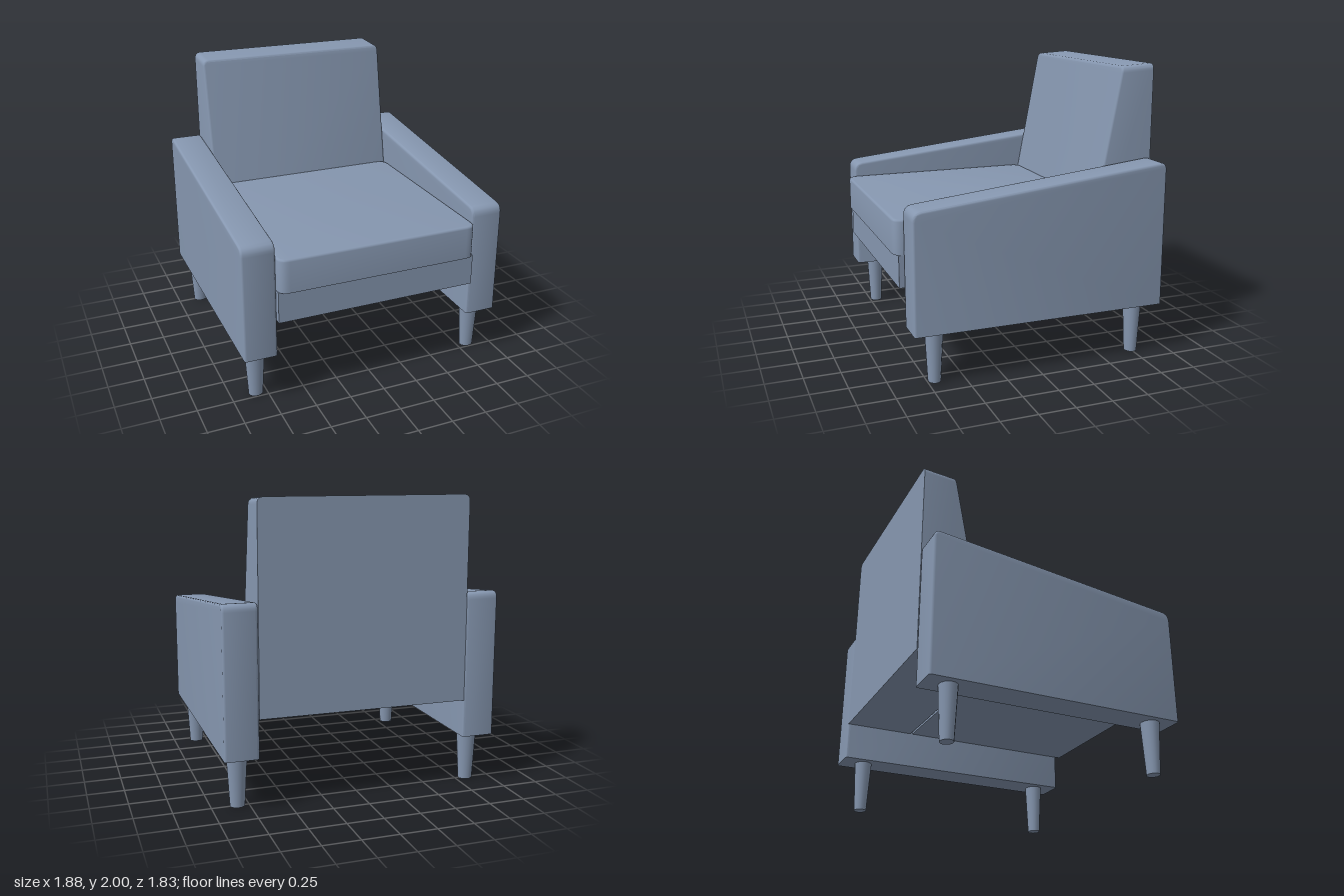
import * as THREE from 'three';
import { toCreasedNormals } from 'three/addons/utils/BufferGeometryUtils.js';

const material = new THREE.MeshStandardMaterial({ color: 0x8697b0 });

// Extrude a profile to a total depth with a small rounded edge, keeping its outline size.
function softExtrude(shape, depth, bevel) {
  return new THREE.ExtrudeGeometry(shape, {
    depth: depth - 2 * bevel, bevelThickness: bevel, bevelSize: bevel,
    bevelOffset: -bevel, bevelSegments: 3, curveSegments: 6,
  }).translate(0, 0, bevel);
}

// Move every vertex by a rule.
function reshape(geometry, rule) {
  const p = geometry.attributes.position;
  const v = new THREE.Vector3();
  for (let i = 0; i < p.count; i++) {
    v.fromBufferAttribute(p, i);
    rule(v);
    p.setXYZ(i, v.x, v.y, v.z);
  }
  return geometry;
}

// Polygon with rounded corners; each corner is [x, y, radius].
function roundedShape(corners) {
  const shape = new THREE.Shape();
  const n = corners.length;
  corners.forEach(([x, y, r], i) => {
    const at = new THREE.Vector2(x, y);
    const toward = ([a, b]) => new THREE.Vector2(a, b).sub(at).setLength(r).add(at);
    const a = toward(corners[(i + n - 1) % n]);
    const b = toward(corners[(i + 1) % n]);
    if (i === 0) shape.moveTo(a.x, a.y);
    else shape.lineTo(a.x, a.y);
    if (r > 0) shape.quadraticCurveTo(x, y, b.x, b.y);
  });
  shape.closePath();
  return shape;
}

export function createModel() {
  const model = new THREE.Group();
  model.name = 'armchair';
  const add = (name, geometry) => {
    const mesh = new THREE.Mesh(geometry, material);
    mesh.name = name;
    model.add(mesh);
    return mesh;
  };

  // Arms: sloping side profile with soft edges and a flat underside
  const armProfile = roundedShape([
    [-0.917, 0.357, 0], [0.857, 0.357, 0], [0.857, 1.165, 0.06], [-0.917, 1.361, 0.055],
  ]);
  for (const side of [1, -1]) {
    const arm = softExtrude(armProfile, 0.228, 0.016);
    reshape(arm, (v) => { if (v.y < 0.4) v.y = 0.357; });
    arm.rotateY(-Math.PI / 2).translate(side * 0.8275 + 0.114, 0, 0);
    add(side > 0 ? 'leftArm' : 'rightArm', toCreasedNormals(arm, 0.6));

    // Tapered legs under each arm
    for (const [z, end] of [[0.7, 'Front'], [-0.75, 'Back']]) {
      const leg = add((side > 0 ? 'left' : 'right') + end + 'Leg',
        new THREE.CylinderGeometry(0.071, 0.05, 0.36, 16));
      leg.scale.z = 0.87;
      leg.position.set(side * 0.8275, 0.18, z);
    }
  }

  // Backrest: flat rear, front face leaning back above the seat
  const backProfile = roundedShape([
    [-0.713, 0.617, 0], [0.713, 0.617, 0], [0.713, 2, 0.045], [-0.713, 2, 0.045],
  ]);
  const back = reshape(softExtrude(backProfile, 1, 0.015), (v) => {
    if (v.y < 0.65) v.y = 0.617;
    if (v.z < 0.5) {
      v.z = -0.917;
    } else {
      v.z = -0.51 - 0.187 * (v.y - 1.07) + (v.z - 1);
      if (v.y > 1.9) v.y -= 0.013;
    }
  });
  add('backrest', toCreasedNormals(back, 0.6));

  // Seat base
  add('seatBase', new THREE.BoxGeometry(1.426, 0.219, 1.3).translate(0, 0.7265, 0.24));

  // Seat cushion: rounded plan, soft top edge, flat underside
  const cushionPlan = roundedShape([
    [-0.713, -0.917, 0.075], [0.713, -0.917, 0.075], [0.713, 0.513, 0.075], [-0.713, 0.513, 0.075],
  ]);
  const cushion = softExtrude(cushionPlan, 0.235, 0.016);
  reshape(cushion, (v) => { if (v.z < 0.05) v.z = 0; });
  cushion.rotateX(-Math.PI / 2).translate(0, 0.835, 0);
  add('seatCushion', toCreasedNormals(cushion, 0.6));

  return model;
}
